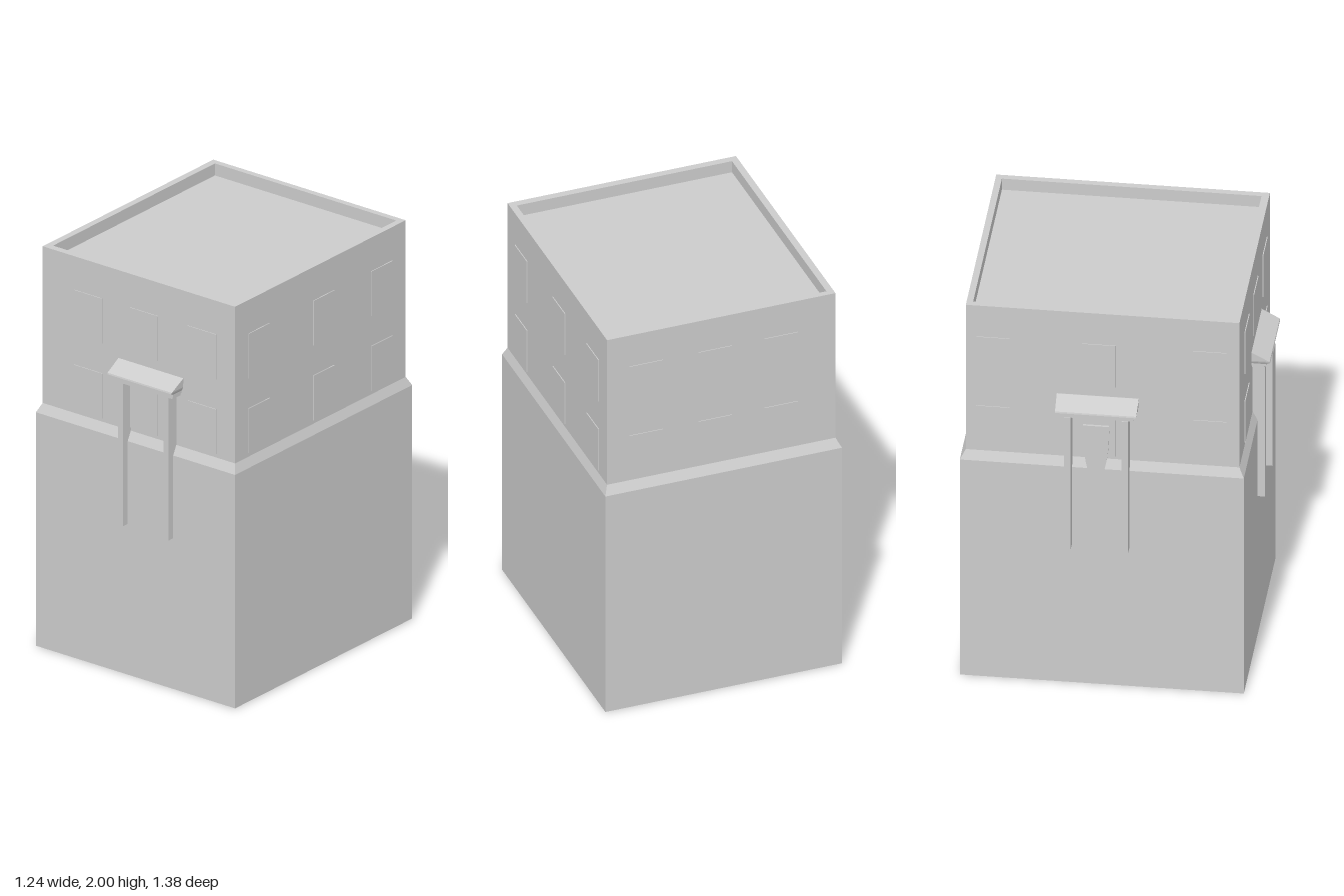
import * as THREE from 'three';

const mat = new THREE.MeshStandardMaterial({ color: 0xcccccc, side: THREE.DoubleSide });

function add(parent, name, geo, x = 0, y = 0, z = 0) {
  const m = new THREE.Mesh(geo, mat);
  m.name = name;
  m.position.set(x, y, z);
  parent.add(m);
  return m;
}

// Skin through rectangular rings [y, x0, x1, z0, z1], closed over the last ring if asked
function ringSkin(levels, cap) {
  const pos = [];
  const rings = levels.map(([y, x0, x1, z0, z1]) =>
    [[x0, y, z1], [x1, y, z1], [x1, y, z0], [x0, y, z0]]);
  const quad = (a, b, c, d) => pos.push(...a, ...b, ...c, ...a, ...c, ...d);
  for (let k = 0; k < rings.length - 1; k++) {
    for (let i = 0; i < 4; i++) {
      const j = (i + 1) % 4;
      quad(rings[k][i], rings[k][j], rings[k + 1][j], rings[k + 1][i]);
    }
  }
  if (cap) quad(...rings[rings.length - 1]);
  const g = new THREE.BufferGeometry();
  g.setAttribute('position', new THREE.Float32BufferAttribute(pos, 3));
  g.computeVertexNormals();
  return g;
}

// Canopy on two posts, built against a wall at z = 0 and facing +z
function makePorch(name, postDepth) {
  const porch = new THREE.Group();
  porch.name = name;
  const profile = [ // y, half width, depth
    [1.47, 0.172, 0.002], [1.47, 0.172, 0.06], [1.485, 0.172, 0.06],
    [1.485, 0.18, 0.068], [1.497, 0.18, 0.068], [1.508, 0.186, 0.088],
    [1.515, 0.188, 0.086], [1.56, 0.19, 0.002],
  ];
  add(porch, 'canopy', ringSkin(profile.map(([y, w, d]) => [y, -w, w, 0, d]), true));
  for (const s of [-1, 1]) {
    add(porch, 'post', new THREE.BoxGeometry(0.03, 0.715, postDepth), s * 0.133, 1.1125, postDepth / 2);
  }
  return porch;
}

export function createModel() {
  const group = new THREE.Group();
  group.name = 'tower';

  // Walls, sloped ledge, parapet and sunken roof; the underside is open
  add(group, 'walls', ringSkin([
    [0, -0.545, 0.62, -0.69, 0.625],
    [1.17, -0.545, 0.62, -0.69, 0.625],
    [1.215, -0.523, 0.602, -0.665, 0.602],
    [2, -0.523, 0.602, -0.665, 0.602],
    [2, -0.49, 0.57, -0.635, 0.567],
    [1.94, -0.49, 0.57, -0.635, 0.567],
  ], true));
  add(group, 'innerCeiling', new THREE.PlaneGeometry(1.165, 1.315).rotateX(Math.PI / 2), 0.0375, 0.85, -0.0325);

  // Slightly raised window panels, two rows of three on every side
  const t = 0.008;
  for (const y of [1.345, 1.72]) {
    for (const x of [-0.255, 0.07, 0.41]) {
      for (const z of [-0.665, 0.602]) {
        add(group, 'windowPanel', new THREE.BoxGeometry(0.165, 0.225, t), x, y, z);
      }
    }
    for (const [x, zs] of [[0.602, [-0.485, -0.055, 0.425]], [-0.523, [-0.54, -0.05, 0.465]]]) {
      for (const z of zs) add(group, 'windowPanel', new THREE.BoxGeometry(t, 0.225, 0.155), x, y, z);
    }
  }

  // Front porch
  const front = makePorch('frontPorch', 0.06);
  front.position.set(0.11, 0, 0.6);
  group.add(front);

  // Side porch with a hanging shield between its posts
  const side = makePorch('sidePorch', 0.065);
  side.rotation.y = -Math.PI / 2;
  side.position.set(-0.535, 0, -0.052);
  group.add(side);
  add(side, 'porchBacking', new THREE.BoxGeometry(0.37, 0.04, 0.02), 0, 1.51, -0.005);

  const shield = new THREE.Shape();
  shield.moveTo(-0.06, 0.17);
  shield.lineTo(0.06, 0.17);
  shield.quadraticCurveTo(0.065, -0.05, 0, -0.17);
  shield.quadraticCurveTo(-0.065, -0.05, -0.06, 0.17);
  add(side, 'hangingShield', new THREE.ExtrudeGeometry(shield, { depth: 0.012, bevelEnabled: false }), 0, 1.27, 0.06);

  return group;
}
